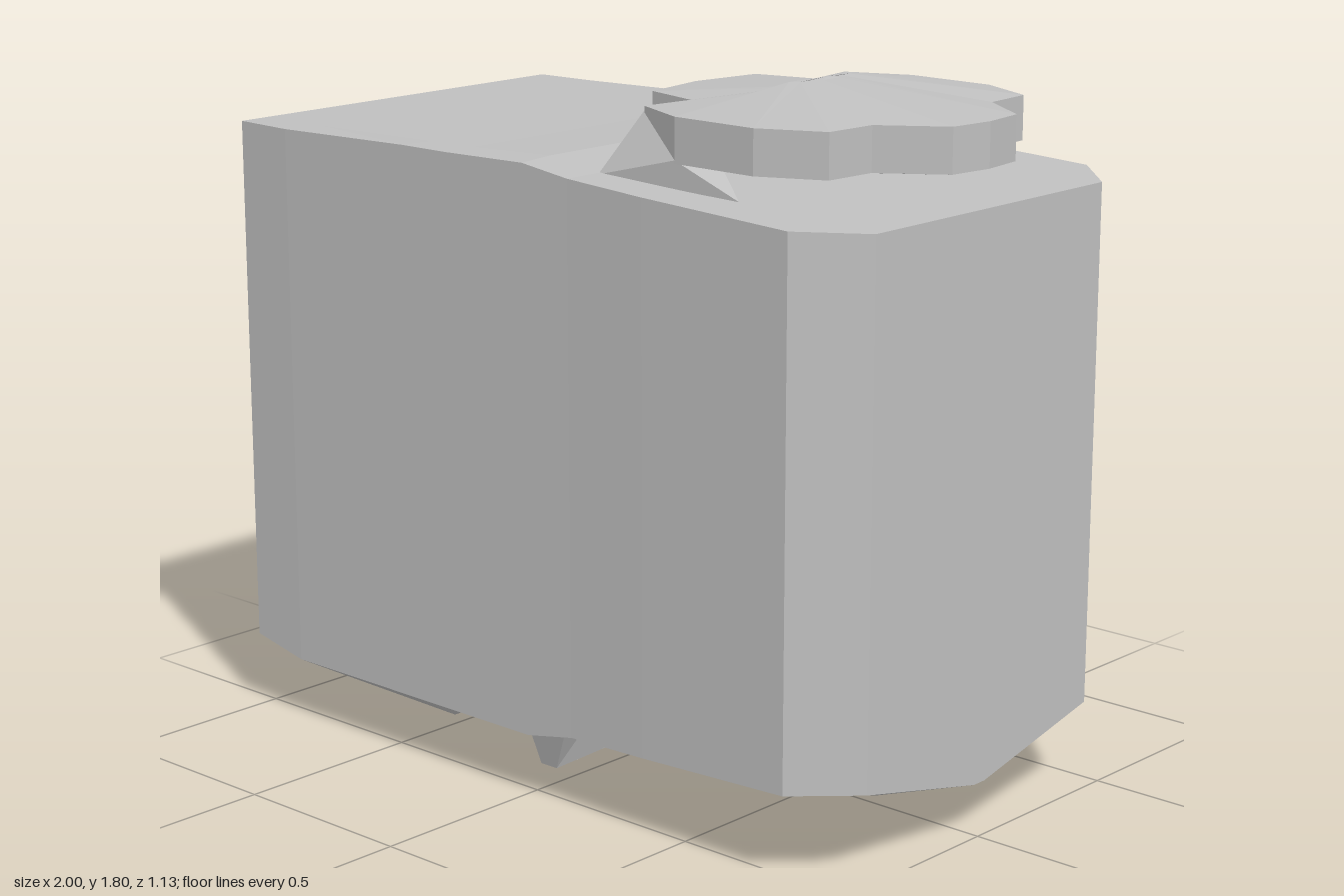
import * as THREE from 'three';
import { ConvexGeometry } from 'three/addons/geometries/ConvexGeometry.js';

// Skin between rings of points; both ends are closed with fans.
function loft(rings, startTip, endTip) {
  const pos = [];
  const tri = (a, b, c) => pos.push(...a, ...b, ...c);
  const middle = (r) => [0, 1, 2].map((k) => r.reduce((s, p) => s + p[k], 0) / r.length);
  const n = rings[0].length;
  const first = rings[0], last = rings[rings.length - 1];
  const s = startTip || middle(first), e = endTip || middle(last);
  for (let j = 0; j < n; j++) {
    const k = (j + 1) % n;
    for (let i = 0; i < rings.length - 1; i++) {
      const a = rings[i], b = rings[i + 1];
      tri(a[j], a[k], b[k]);
      tri(a[j], b[k], b[j]);
    }
    tri(first[k], first[j], s);
    tri(last[j], last[k], e);
  }
  const g = new THREE.BufferGeometry();
  g.setAttribute('position', new THREE.Float32BufferAttribute(pos, 3));
  g.computeVertexNormals();
  return g;
}

export function createModel() {
  const grey = new THREE.MeshStandardMaterial({ color: 0xbfbfbf, flatShading: true });
  grey.name = 'plain grey';
  const group = new THREE.Group();
  const add = (name, geometry) => {
    const mesh = new THREE.Mesh(geometry, grey);
    mesh.name = name;
    group.add(mesh);
  };

  // Body: x, half width, wall bottom, wall top, top inset z, top inset y, belly z, belly y
  const sections = [
    [-1, 0.55, 0.2, 1.59, 0.46, 1.59, 0.5, 0.195],
    [-0.82, 0.56, 0.17, 1.59, 0.46, 1.59, 0.44, 0.145],
    [-0.38, 0.56, 0.17, 1.6, 0.46, 1.597, 0.42, 0.085],
    [-0.23, 0.56, 0.17, 1.6, 0.46, 1.6, 0.42, 0.17],
    [0.03, 0.56, 0.17, 1.605, 0.46, 1.61, 0.42, 0.168],
    [0.18, 0.56, 0.2, 1.585, 0.45, 1.585, 0.41, 0.155],
    [0.42, 0.565, 0.21, 1.572, 0.44, 1.572, 0.38, 0.132],
    [0.86, 0.565, 0.23, 1.552, 0.44, 1.552, 0.22, 0.132],
    [1, 0.43, 0.23, 1.545, 0.35, 1.545, 0.02, 0.138],
  ];
  add('body', loft(sections.map(([x, w, yb, yt, zi, yi, zb, yc]) => [
    [x, yi, -zi], [x, yi, zi], [x, yt, w], [x, yb, w],
    [x, yc, zb], [x, yc, -zb], [x, yb, -w], [x, yt, -w],
  ])));

  // Lobed cap with a low peak and a tapered underside
  const half = [
    [0.09, 0.19], [0.27, 0.23], [0.25, 0.37], [0.41, 0.44],
    [0.65, 0.44], [0.81, 0.365], [0.82, 0.225], [0.97, 0.12],
  ];
  const outline = [[0.06, 0], ...half, [0.985, 0], ...half.map(([x, z]) => [x, -z]).reverse()];
  add('cap', loft([
    outline.map(([x, z]) => [x + (x < 0.2 ? 0.02 : 0), x < 0.3 ? 1.61 : 1.632, z]),
    outline.map(([x, z]) => [x + (x < 0.2 ? 0.02 : 0), 1.742, z]),
    outline.map(([x, z]) => [0.45 + (x - 0.45) * 0.12, x < 0.45 ? 1.768 : 1.792, z * 0.25]),
  ], [0.45, 1.56, 0], [0.5, 1.796, 0]));

  // Pointed side tabs joining the cap to the body
  for (const side of [1, -1]) {
    const points = [
      [0.175, 1.58, 0.45], [0.27, 1.735, 0.23], [0.25, 1.735, 0.365],
      [0.41, 1.64, 0.44], [0.6, 1.565, 0.43], [0.27, 1.575, 0.23],
    ].map(([x, y, z]) => new THREE.Vector3(x, y, z * side));
    add(side > 0 ? 'frontTab' : 'backTab', new ConvexGeometry(points));
  }

  // Tapered fin under the body, hollowed on one side
  const fin = (y, x0, x1, dip, w) => [
    [x0, y, -w], [x0, y, w], [x1, y, w], [x1 - dip * 0.7, y, w / 2],
    [x1 - dip, y, 0], [x1 - dip * 0.7, y, -w / 2], [x1, y, -w],
  ];
  add('bottomFin', loft([fin(0, -0.125, -0.07, 0.015, 0.36), fin(0.18, -0.15, 0.025, 0.07, 0.41)]));

  return group;
}
